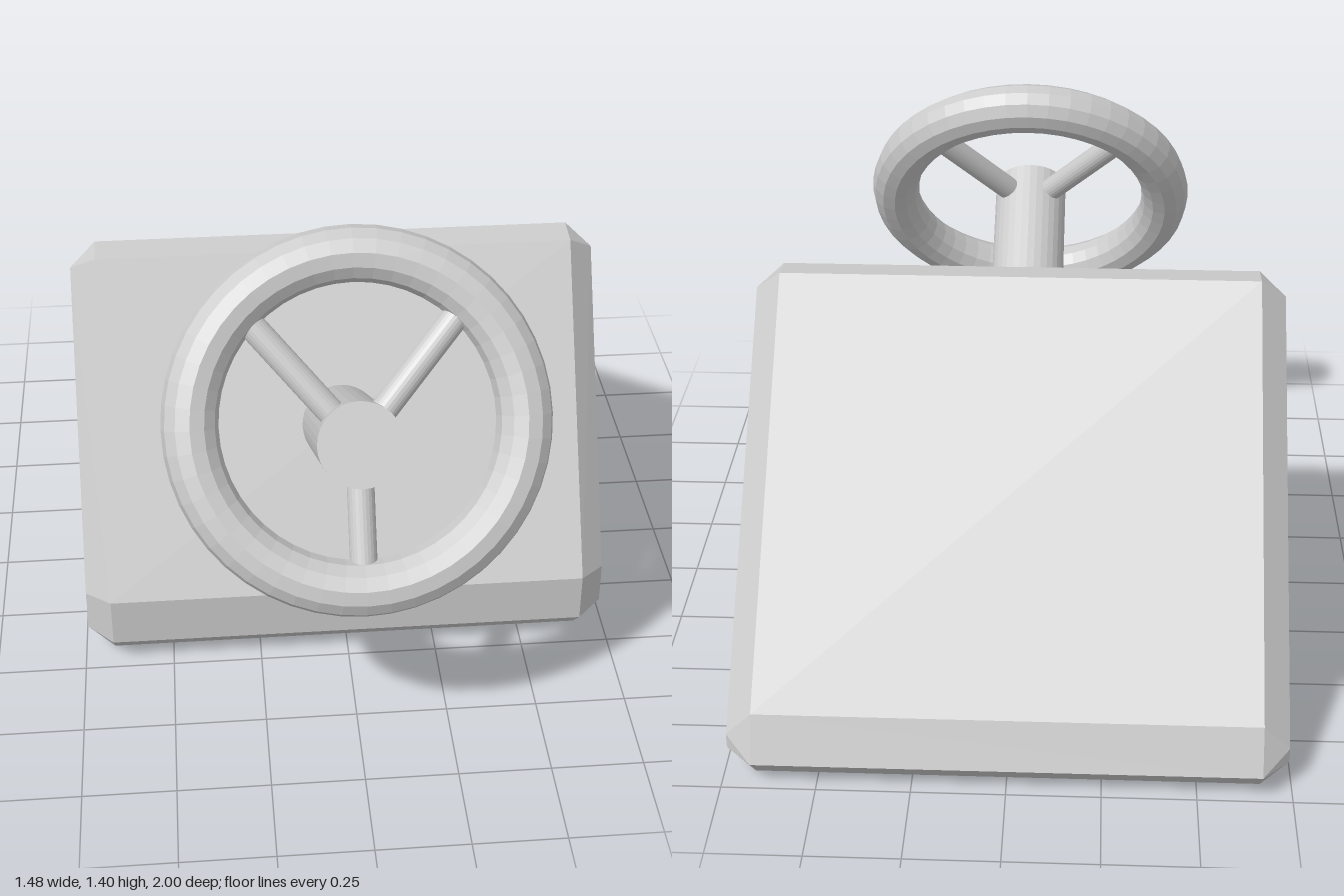
import * as THREE from 'three';
import { ConvexGeometry } from 'three/addons/geometries/ConvexGeometry.js';

export function createModel() {
  const model = new THREE.Group();
  model.name = 'steeringConsole';
  const material = new THREE.MeshStandardMaterial({ color: 0xcccccc, flatShading: true });

  function add(parent, name, geometry) {
    const mesh = new THREE.Mesh(geometry, material);
    mesh.name = name;
    parent.add(mesh);
    return mesh;
  }

  // Wedge-shaped housing with chamfered edges: [z, y] outlines hulled together
  const outer = [[0.41, 0], [0.485, 0.077], [0.485, 0.22], [0, 1.05],
    [-0.085, 1.06], [-0.945, 0.2], [-1, 0.077], [-0.93, 0]];
  const sideFace = [[0.41, 0.077], [0.41, 0.2], [-0.052, 0.998], [-0.93, 0.12], [-0.93, 0.077]];
  const points = [];
  for (const s of [-1, 1]) {
    for (const [z, y] of outer) points.push(new THREE.Vector3(s * 0.668, y, z));
    for (const [z, y] of sideFace) points.push(new THREE.Vector3(s * 0.74, y, z));
  }
  add(model, 'housing', new ConvexGeometry(points));

  // Wheel assembly, tilted so its axis is square to the sloping front
  const wheel = new THREE.Group();
  wheel.name = 'steeringWheel';
  wheel.position.set(0, 0.962, 0.717);
  wheel.rotation.x = -Math.PI / 6;
  model.add(wheel);

  add(wheel, 'rim', new THREE.TorusGeometry(0.4225, 0.0725, 12, 48));

  // Column and spokes meet slightly below the rim centre
  const hubY = -0.054;
  const columnLength = 0.74;
  const column = add(wheel, 'column', new THREE.CylinderGeometry(0.11, 0.11, columnLength, 32));
  column.rotation.x = Math.PI / 2;
  column.position.set(0, hubY, 0.07 - columnLength / 2);

  for (const [name, degrees, length] of [
    ['leftSpoke', 50, 0.45], ['rightSpoke', 130, 0.45], ['lowerSpoke', 270, 0.37]]) {
    const a = THREE.MathUtils.degToRad(degrees);
    const spoke = add(wheel, name, new THREE.CylinderGeometry(0.035, 0.035, length, 24));
    spoke.rotation.z = a - Math.PI / 2;
    spoke.position.set(Math.cos(a) * length / 2, hubY + Math.sin(a) * length / 2, 0);
  }

  return model;
}
